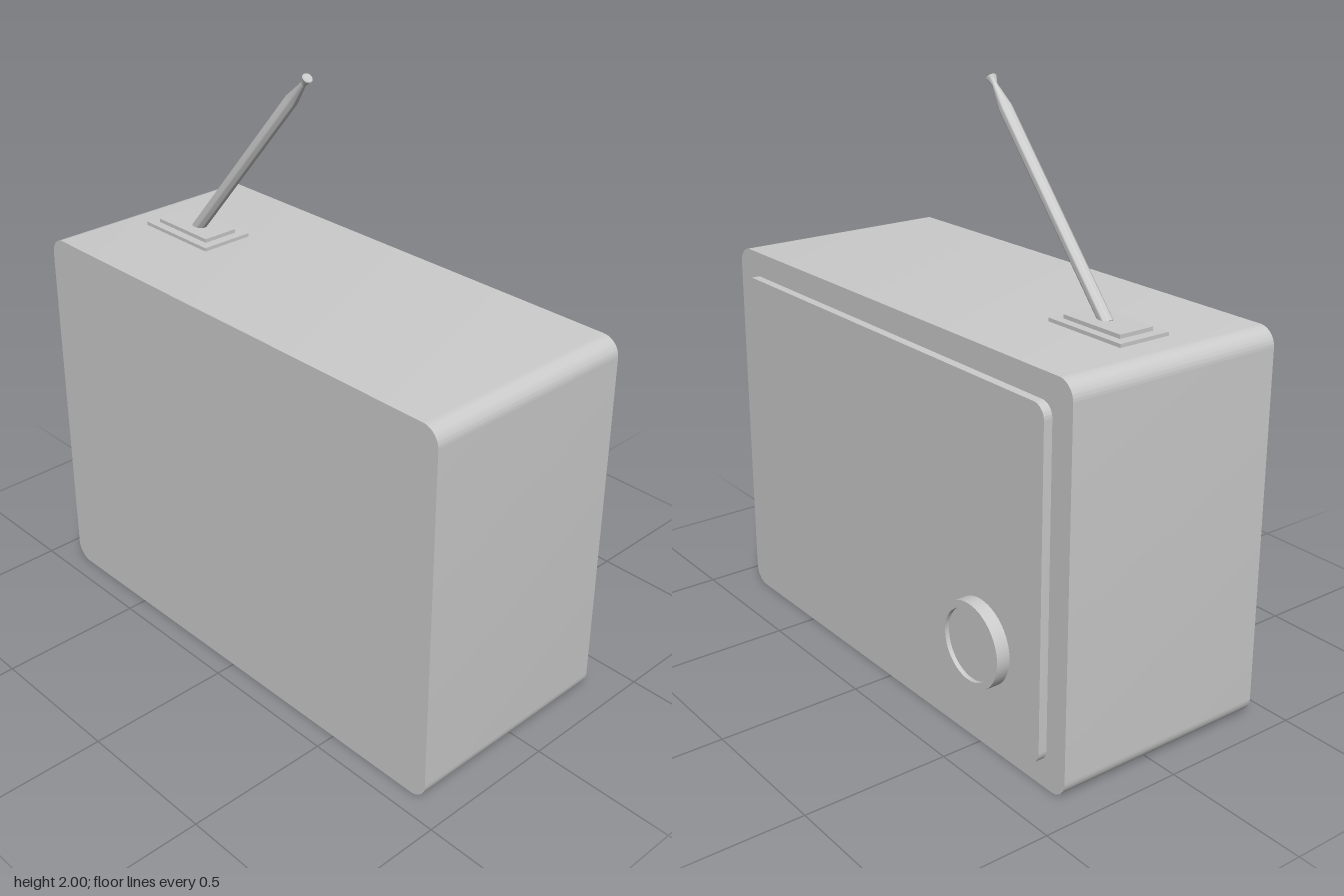
import * as THREE from 'three';
import { toCreasedNormals } from 'three/addons/utils/BufferGeometryUtils.js';

const material = new THREE.MeshStandardMaterial({ color: 0xcccccc });

function addPart(parent, name, geometry, x = 0, y = 0, z = 0) {
  const mesh = new THREE.Mesh(geometry, material);
  mesh.name = name;
  mesh.position.set(x, y, z);
  parent.add(mesh);
  return mesh;
}

// Slab with rounded corners in the xy plane, extruded along +z from 0
function roundedSlab(width, height, depth, r) {
  const w = width / 2, h = height / 2;
  const shape = new THREE.Shape();
  shape.absarc(w - r, h - r, r, 0, Math.PI / 2);
  shape.absarc(-w + r, h - r, r, Math.PI / 2, Math.PI);
  shape.absarc(-w + r, -h + r, r, Math.PI, Math.PI * 1.5);
  shape.absarc(w - r, -h + r, r, Math.PI * 1.5, Math.PI * 2);
  shape.closePath();
  const geometry = new THREE.ExtrudeGeometry(shape, { depth, bevelEnabled: false, curveSegments: 10 });
  return toCreasedNormals(geometry, 0.6);
}

function lathe(points, segments) {
  const profile = points.map(([r, y]) => new THREE.Vector2(r, y));
  return toCreasedNormals(new THREE.LatheGeometry(profile, segments), 0.6);
}

export function createModel() {
  const radio = new THREE.Group();
  radio.name = 'radio';

  // Case and raised panel on the back
  addPart(radio, 'case', roundedSlab(1.81, 1.315, 0.785, 0.06), 0, 0.6575, -0.355);
  addPart(radio, 'panel', roundedSlab(1.64, 1.145, 0.04, 0.045), 0, 0.6575, -0.385);

  // Round dial with a shallow recessed face
  const dial = addPart(radio, 'dial', lathe([
    [0, 0], [0.142, 0], [0.142, 0.05], [0.118, 0.05], [0.118, 0.035], [0, 0.035],
  ], 48), -0.537, 0.383, -0.382);
  dial.rotation.x = -Math.PI / 2;

  // Stepped antenna mount
  addPart(radio, 'mountBase', new THREE.BoxGeometry(0.32, 0.02, 0.19), -0.605, 1.317, 0.035);
  addPart(radio, 'mountPlate', new THREE.BoxGeometry(0.25, 0.03, 0.13), -0.605, 1.325, 0.035);

  // Leaning antenna: straight rod, tapered neck and flared tip
  const start = new THREE.Vector3(-0.6, 1.328, 0.037);
  const end = new THREE.Vector3(-0.034, 1.987, 0.037);
  const length = start.distanceTo(end);
  const antenna = addPart(radio, 'antenna', lathe([
    [0, 0], [0.022, 0], [0.022, length - 0.115], [0.009, length - 0.03],
    [0.018, length - 0.004], [0.016, length], [0, length],
  ], 24));
  antenna.position.copy(start);
  antenna.quaternion.setFromUnitVectors(new THREE.Vector3(0, 1, 0), end.sub(start).normalize());

  return radio;
}
